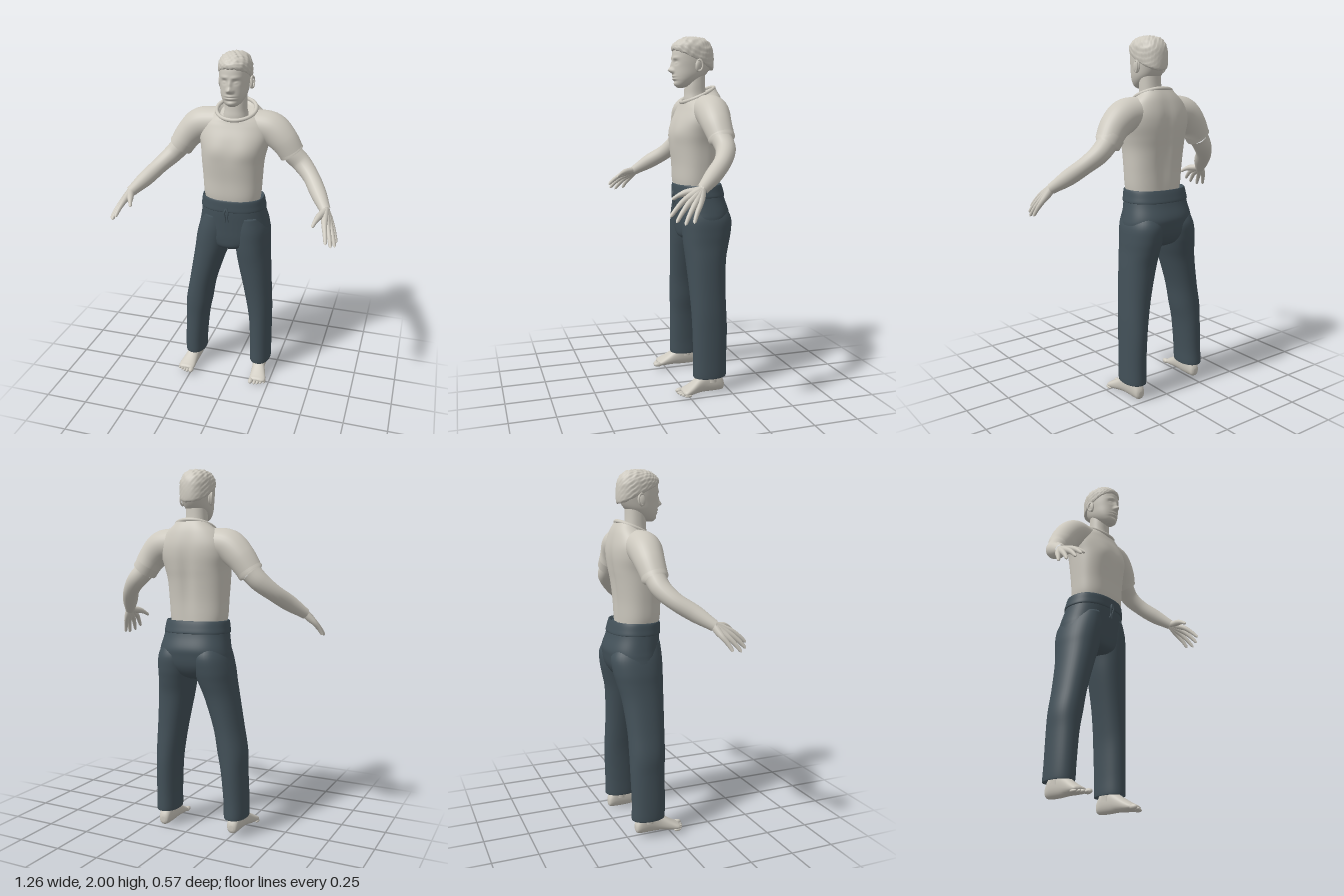
import * as THREE from 'three';

const light = new THREE.MeshStandardMaterial({ color: 0xcdc9bf });
light.name = 'warm light grey';
const dark = new THREE.MeshStandardMaterial({ color: 0x435159 });
dark.name = 'dark slate';

const V = (a) => new THREE.Vector3(a[0], a[1], a[2]);

function part(parent, name, geometry, material) {
  const mesh = new THREE.Mesh(geometry, material);
  mesh.name = name;
  parent.add(mesh);
  return mesh;
}

// Smooth skin over upright cross-sections: [y, centre x, half width, front z, back z, front lift]
function loft(rows, { n = 2.2, around = 48, steps = 5, deform } = {}) {
  const columns = [0, 1, 2, 3, 4, 5].map((c) =>
    new THREE.SplineCurve(rows.map((r, i) => new THREE.Vector2(i, r[c] ?? 0))));
  const rings = (rows.length - 1) * steps;
  const pos = [], index = [];
  const ends = [];
  const pw = (v) => Math.sign(v) * Math.abs(v) ** (2 / n);
  for (let i = 0; i <= rings; i++) {
    const [y, cx, rx, zf, zb, lift] = columns.map((c) => c.getPoint(i / rings).y);
    for (let j = 0; j < around; j++) {
      const a = (j / around) * Math.PI * 2, s = pw(Math.sin(a));
      const p = new THREE.Vector3(cx + rx * pw(Math.cos(a)), y + lift * s, (zf + zb) / 2 + s * (zf - zb) / 2);
      if (deform) deform(p);
      pos.push(p.x, p.y, p.z);
      if (i < rings) {
        const k = i * around + j, l = i * around + (j + 1) % around;
        index.push(k, k + around, l, l, k + around, l + around);
      }
    }
    if (i === 0 || i === rings) ends.push([cx, y, (zf + zb) / 2]);
  }
  const base = pos.length / 3, top = rings * around;
  ends.forEach((e) => pos.push(...e));
  for (let j = 0; j < around; j++) {
    const m = (j + 1) % around;
    index.push(base, j, m, base + 1, top + m, top + j);
  }
  const g = new THREE.BufferGeometry();
  g.setAttribute('position', new THREE.Float32BufferAttribute(pos, 3));
  g.setIndex(index);
  g.computeVertexNormals();
  return g;
}

// Tube through points with a radius at each one
function limb(points, radii, sides = 20, segments = 28) {
  const curve = new THREE.CatmullRomCurve3(points.map(V));
  const width = new THREE.SplineCurve(radii.map((r) => new THREE.Vector2(r, 0)));
  const g = new THREE.TubeGeometry(curve, segments, 1, sides, false);
  const p = g.attributes.position, v = new THREE.Vector3();
  for (let i = 0; i <= segments; i++) {
    const centre = curve.getPointAt(i / segments);
    const r = Math.max(0.0005, width.getPoint(curve.getUtoTmapping(i / segments)).x);
    for (let j = 0; j <= sides; j++) {
      const k = i * (sides + 1) + j;
      v.fromBufferAttribute(p, k).sub(centre).multiplyScalar(r).add(centre);
      p.setXYZ(k, v.x, v.y, v.z);
    }
  }
  return g;
}

const bell = (x, w) => Math.exp(-(x * x) / (w * w));

// Face relief: nose, brows, closed eyes, lips and chin
function face(p) {
  if (p.z < -0.06) return;
  const x = Math.abs(p.x - 0.008), y = p.y;
  p.z += 0.026 * bell(x, 0.013) * bell(y - 1.816, 0.014) + 0.012 * bell(x, 0.01) * bell(y - 1.842, 0.022)
    + 0.008 * bell(x - 0.014, 0.008) * bell(y - 1.81, 0.009)
    - 0.012 * bell(x - 0.031, 0.017) * bell(y - 1.858, 0.013)
    + 0.007 * bell(x - 0.032, 0.011) * bell(y - 1.855, 0.007)
    + 0.005 * bell(x - 0.03, 0.022) * bell(y - 1.881, 0.008)
    + 0.007 * bell(x, 0.024) * (bell(y - 1.783, 0.006) + bell(y - 1.769, 0.006))
    - 0.004 * bell(x, 0.027) * bell(y - 1.776, 0.003)
    - 0.004 * bell(x, 0.03) * bell(y - 1.757, 0.006) + 0.005 * bell(x, 0.02) * bell(y - 1.74, 0.01);
}

function addHead(body) {
  const head = new THREE.Group();
  head.name = 'head';
  body.add(head);
  part(head, 'face', loft([
    [1.722, 0.008, 0.02, 0.004, -0.03], [1.735, 0.008, 0.042, 0.018, -0.065], [1.76, 0.008, 0.06, 0.026, -0.11],
    [1.79, 0.008, 0.071, 0.031, -0.152], [1.83, 0.008, 0.077, 0.033, -0.18], [1.87, 0.008, 0.081, 0.036, -0.195],
    [1.92, 0.008, 0.082, 0.031, -0.193], [1.95, 0.008, 0.074, 0.015, -0.18], [1.975, 0.008, 0.052, -0.012, -0.15],
    [1.986, 0.008, 0.015, -0.06, -0.1]], { around: 96, steps: 9, deform: face }), light);
  // Short cropped hair with a fine uneven surface
  const tuft = (p) => {
    const w = Math.sin(p.x * 190 + p.z * 70) * Math.sin(p.z * 170 - p.y * 90) * Math.sin(p.y * 150 + p.x * 60);
    p.y += 0.004 * w;
    p.x += 0.003 * w * Math.sign(p.x - 0.008);
  };
  part(head, 'hair', loft([
    [1.868, 0.008, 0.076, 0.022, -0.188, 0.05], [1.878, 0.008, 0.086, 0.036, -0.2, 0.05],
    [1.915, 0.008, 0.088, 0.037, -0.201, 0.03], [1.95, 0.008, 0.083, 0.026, -0.192, 0.01],
    [1.98, 0.008, 0.063, 0, -0.162], [1.994, 0.008, 0.035, -0.03, -0.125], [1.998, 0.008, 0.006, -0.07, -0.085]],
    { around: 80, steps: 7, deform: tuft }), light);
  for (const s of [-1, 1]) {
    const ear = part(head, 'ear', new THREE.SphereGeometry(1, 16, 12), light);
    ear.scale.set(0.01, 0.034, 0.021);
    ear.position.set(0.008 + s * 0.084, 1.838, -0.09);
    ear.rotation.set(-0.15, s * 0.35, 0);
    const rim = part(head, 'earRim', new THREE.TorusGeometry(0.02, 0.005, 8, 20), light);
    rim.scale.set(0.9, 1.45, 1);
    rim.position.set(0.008 + s * 0.09, 1.84, -0.092);
    rim.rotation.y = Math.PI / 2 - s * 0.3;
  }
  part(head, 'neck', loft([
    [1.58, 0.006, 0.085, -0.04, -0.19], [1.65, 0.006, 0.07, -0.035, -0.172], [1.69, 0.006, 0.062, -0.038, -0.158],
    [1.74, 0.007, 0.06, -0.04, -0.152], [1.8, 0.008, 0.058, -0.045, -0.15]]), light);
}

function addShirt(body) {
  // Gentle chest muscles and a groove along the spine
  const muscle = (p) => {
    if (p.z > -0.08) p.z += 0.007 * bell(Math.abs(p.x) - 0.085, 0.06) * bell(p.y - 1.48, 0.06);
    else p.z += 0.014 * bell(p.x, 0.035) * bell(p.y - 1.42, 0.2);
  };
  part(body, 'shirt', loft([
    [1.15, -0.008, 0.152, 0.008, -0.212], [1.21, -0.01, 0.163, 0.018, -0.215], [1.3, -0.01, 0.169, 0.022, -0.22],
    [1.4, -0.01, 0.176, 0.032, -0.232], [1.47, -0.005, 0.186, 0.032, -0.243], [1.54, -0.002, 0.2, 0.016, -0.25],
    [1.6, 0, 0.195, -0.008, -0.247], [1.645, 0.003, 0.165, -0.018, -0.232, -0.02],
    [1.675, 0.004, 0.125, -0.023, -0.213, -0.035], [1.685, 0.005, 0.108, -0.028, -0.2, -0.04],
    [1.66, 0.005, 0.09, -0.04, -0.18, -0.04]], { n: 2.4, around: 72, steps: 6, deform: muscle }), light);
  const ring = Array.from({ length: 24 }, (_, i) => {
    const a = i / 24 * Math.PI * 2, s = Math.sin(a);
    return new THREE.Vector3(0.005 + 0.11 * Math.cos(a), 1.684 - 0.042 * s, -0.112 + 0.09 * s);
  });
  part(body, 'collar', new THREE.TubeGeometry(new THREE.CatmullRomCurve3(ring, true), 64, 0.011, 10, true), light);
}

function addArm(body, name, side, shoulderZ, path, fingertips) {
  const arm = new THREE.Group();
  arm.name = name;
  body.add(arm);
  const [, , end] = [0, 0, path[0]];
  part(arm, 'sleeve', limb([[side * 0.1, 1.6, shoulderZ], [side * 0.2, 1.583, shoulderZ], [side * 0.268, 1.527, shoulderZ],
    end, [end[0] + side * 0.006, end[1] - 0.008, end[2]]], [0.085, 0.091, 0.08, 0.066, 0.05], 32), light);
  const c = (t) => [end[0] - side * 0.03 * t, end[1] + 0.04 * t, end[2]];
  part(arm, 'sleeveCuff', limb([c(1), c(0.9), c(0.4), c(0), c(-0.1)], [0.064, 0.071, 0.0705, 0.07, 0.05], 32), light);
  part(arm, 'bareArm', limb(path, [0.056, 0.053, 0.046, 0.044, 0.03]), light);
  // Fingers fan out from the wrist and overlap to form the palm
  const wrist = V(path[4]), mean = new THREE.Vector3();
  fingertips.slice(1).forEach((t) => mean.add(V(t).multiplyScalar(0.25)));
  fingertips.forEach((t, i) => {
    const tip = V(t), at = (f, spread, rise) => {
      const p = wrist.clone().lerp(tip, f).addScaledVector(tip.clone().sub(mean), i ? spread : 0);
      p.y += rise;
      return p.toArray();
    };
    const points = [at(-0.08, 0, 0), at(0.25, 0.12, 0.006), at(0.52, 0.16, 0.012), at(0.78, 0.06, 0.01), at(0.96, 0, 0.002), t];
    part(arm, i ? 'finger' : 'thumb', limb(points, [0.022, 0.02, i ? 0.0145 : 0.018, 0.0115, 0.0085, 0.0005], 12, 24), light);
  });
}

function addTrousers(body) {
  part(body, 'trouserSeat', loft([
    [0.865, -0.017, 0.06, -0.04, -0.19], [0.89, -0.017, 0.13, -0.008, -0.24], [0.94, -0.014, 0.205, 0.002, -0.272],
    [1, -0.009, 0.207, 0.007, -0.284], [1.04, -0.008, 0.2, 0.01, -0.285], [1.1, -0.009, 0.187, 0.014, -0.264],
    [1.15, -0.01, 0.178, 0.014, -0.25], [1.175, -0.01, 0.174, 0.012, -0.242]], { n: 2.3, around: 64 }), dark);
  part(body, 'waistband', loft([
    [1.12, -0.01, 0.178, 0.01, -0.25], [1.122, -0.01, 0.188, 0.02, -0.262], [1.15, -0.01, 0.184, 0.02, -0.256],
    [1.18, -0.01, 0.179, 0.018, -0.247], [1.187, -0.01, 0.172, 0.012, -0.24], [1.165, -0.01, 0.155, 0, -0.215]],
    { n: 2.3, around: 64 }), dark);
  for (const s of [-1, 1]) {
    part(body, 'drawstring', limb([[-0.015, 1.145, 0.022], [-0.015 + s * 0.01, 1.12, 0.027],
      [-0.015 + s * 0.006, 1.085, 0.02], [-0.015 + s * 0.01, 1.06, 0.016]], [0.007, 0.005, 0.004, 0.004], 8, 12), dark);
  }
  const legs = {
    rightTrouserLeg: [
      [0.12, -0.256, 0.05, -0.045, -0.21], [0.1, -0.257, 0.06, -0.036, -0.22], [0.115, -0.257, 0.064, -0.032, -0.223],
      [0.2, -0.254, 0.065, -0.03, -0.22], [0.36, -0.242, 0.07, -0.028, -0.223], [0.47, -0.229, 0.08, -0.022, -0.223],
      [0.6, -0.205, 0.08, -0.016, -0.225], [0.76, -0.166, 0.091, -0.006, -0.24], [0.85, -0.142, 0.101, 0, -0.26],
      [0.92, -0.127, 0.107, 0.004, -0.276], [1, -0.11, 0.104, 0.006, -0.28], [1.08, -0.1, 0.08, 0, -0.24]],
    leftTrouserLeg: [
      [0.11, 0.162, 0.05, -0.055, -0.225], [0.09, 0.162, 0.06, -0.046, -0.233], [0.105, 0.162, 0.064, -0.042, -0.236],
      [0.2, 0.162, 0.064, -0.042, -0.236], [0.36, 0.159, 0.067, -0.038, -0.24], [0.47, 0.152, 0.074, -0.034, -0.237],
      [0.6, 0.138, 0.083, -0.026, -0.235], [0.76, 0.118, 0.096, -0.012, -0.243], [0.85, 0.107, 0.1, -0.002, -0.262],
      [0.92, 0.1, 0.105, 0.003, -0.277], [1, 0.094, 0.104, 0.006, -0.28], [1.08, 0.085, 0.08, 0, -0.24]],
  };
  for (const name in legs) part(body, name, loft(legs[name], { n: 2.15, around: 40 }), dark);
}

function addFoot(body, name, side, x, y, z) {
  const foot = new THREE.Group();
  foot.name = name;
  foot.position.set(x, y, z);
  body.add(foot);
  // Sections run from heel to toes: [z, x, half width, -sole y, -instep y]
  const sole = loft([
    [-0.205, 0, 0.012, -0.02, -0.05], [-0.195, 0, 0.028, -0.004, -0.075], [-0.16, 0, 0.036, 0, -0.125],
    [-0.1, 0, 0.037, 0, -0.125], [-0.06, 0.004, 0.039, -0.002, -0.098], [-0.01, 0.013, 0.046, 0, -0.064],
    [0.025, 0.018, 0.05, 0, -0.043], [0.042, 0.018, 0.045, -0.004, -0.034], [0.05, 0.018, 0.03, -0.012, -0.025]]
    .map((r) => [r[0], r[1] * side, ...r.slice(2)]), { n: 2.3, around: 32 });
  part(foot, 'sole', sole.rotateX(Math.PI / 2), light);
  part(foot, 'ankle', limb([[0, 0.06, -0.13], [0, 0.13, -0.13], [0, 0.2, -0.13]], [0.042, 0.04, 0.043]), light);
  for (let i = 0; i < 5; i++) {
    const toe = part(foot, 'toe', new THREE.SphereGeometry(1, 14, 10), light);
    const r = i ? 0.0105 - i * 0.0005 : 0.015;
    toe.scale.set(r, r * 0.95, 0.026 - i * 0.001);
    toe.position.set(side * (-0.019 + (i ? 0.006 + i * 0.0185 : 0)), r, 0.054 - i * i * 0.0017);
  }
}

export function createModel() {
  const body = new THREE.Group();
  body.name = 'standingMan';
  addHead(body);
  addShirt(body);
  addArm(body, 'rightArm', -1, -0.122,
    [[-0.325, 1.447, -0.115], [-0.37, 1.398, -0.1], [-0.43, 1.34, -0.05], [-0.49, 1.28, 0.035], [-0.55, 1.222, 0.115]],
    [[-0.5, 1.185, 0.24], [-0.575, 1.13, 0.282], [-0.602, 1.105, 0.268], [-0.627, 1.093, 0.23], [-0.632, 1.1, 0.178]]);
  addArm(body, 'leftArm', 1, -0.13,
    [[0.318, 1.45, -0.14], [0.37, 1.4, -0.142], [0.43, 1.343, -0.105], [0.49, 1.275, -0.03], [0.545, 1.212, 0.05]],
    [[0.5, 1.165, 0.19], [0.58, 1.09, 0.224], [0.605, 1.065, 0.2], [0.622, 1.053, 0.16], [0.624, 1.06, 0.115]]);
  addTrousers(body);
  addFoot(body, 'rightFoot', -1, -0.258, 0.017, 0);
  addFoot(body, 'leftFoot', 1, 0.163, 0, -0.018);
  return body;
}
